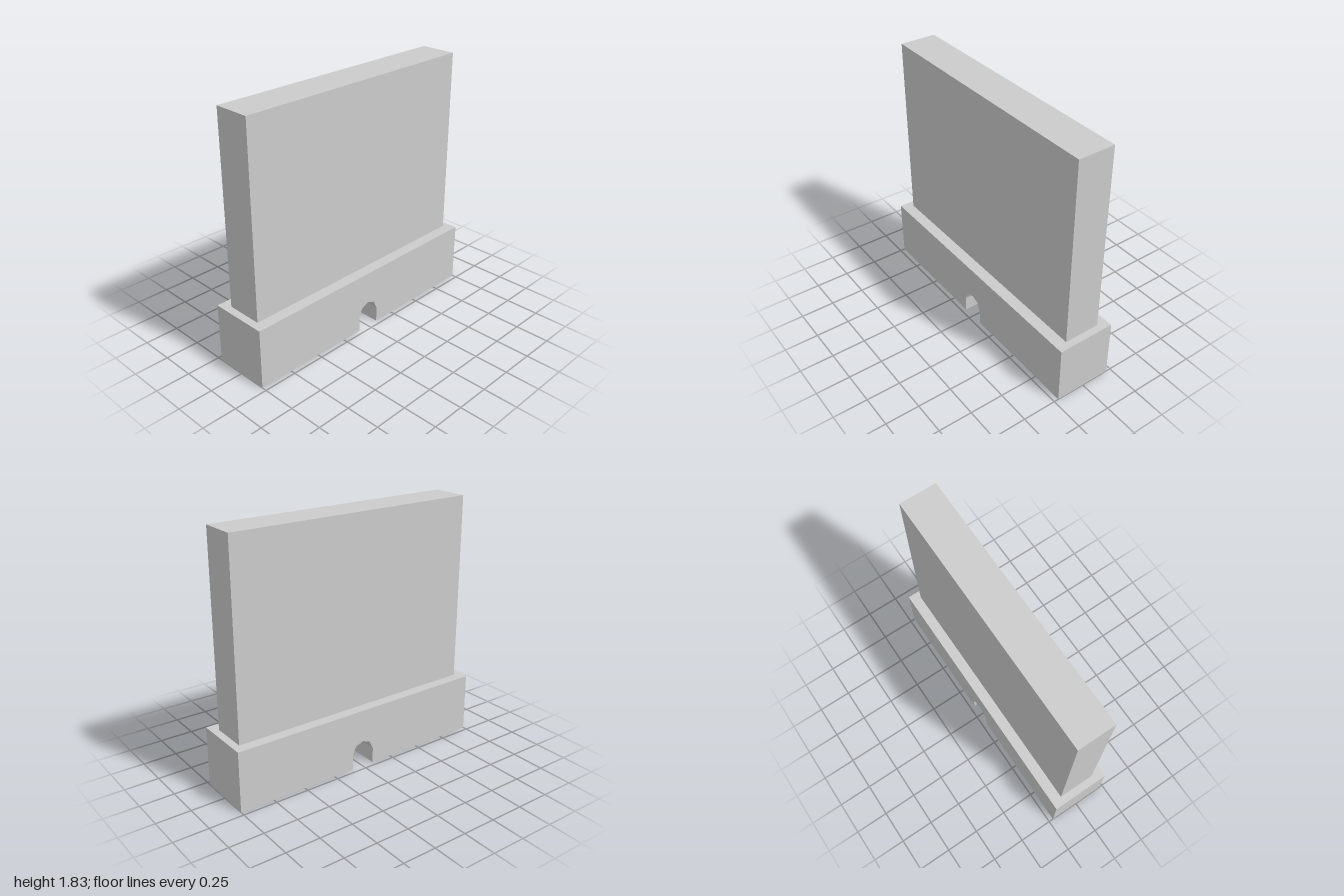
import * as THREE from 'three';

const material = new THREE.MeshStandardMaterial({
  color: 0xcccccc, flatShading: true, side: THREE.DoubleSide,
});

// Remove the triangles lying flat at height y, leaving the shell open below
function openBottom(geometry, y) {
  const source = geometry.index ? geometry.toNonIndexed() : geometry;
  const p = source.attributes.position;
  const kept = [];
  for (let i = 0; i < p.count; i += 3) {
    const corners = [i, i + 1, i + 2];
    if (corners.every((c) => Math.abs(p.getY(c) - y) < 1e-4)) continue;
    for (const c of corners) kept.push(p.getX(c), p.getY(c), p.getZ(c));
  }
  const result = new THREE.BufferGeometry();
  result.setAttribute('position', new THREE.Float32BufferAttribute(kept, 3));
  result.computeVertexNormals();
  return result;
}

function addPart(group, name, geometry) {
  const mesh = new THREE.Mesh(geometry, material);
  mesh.name = name;
  group.add(mesh);
}

export function createModel() {
  const group = new THREE.Group();
  group.name = 'wallSegment';

  // Plinth: long side profile with an arched drain, extruded across the width
  const baseWidth = 0.43, baseHeight = 0.44;
  const profile = new THREE.Shape([
    [-1, 0], [-0.09, 0], [-0.09, 0.115], [-0.06, 0.178], [0, 0.2],
    [0.06, 0.178], [0.09, 0.115], [0.09, 0], [1, 0],
    [1, baseHeight], [-1, baseHeight],
  ].map(([z, y]) => new THREE.Vector2(z, y)));
  const base = new THREE.ExtrudeGeometry(profile, { depth: baseWidth, bevelEnabled: false });
  base.translate(0, 0, -baseWidth / 2).rotateY(-Math.PI / 2);
  addPart(group, 'plinth', openBottom(base, 0));

  // Upright slab standing on the plinth
  const slabHeight = 1.39;
  const slab = new THREE.BoxGeometry(0.268, slabHeight, 1.892);
  slab.translate(-0.003, baseHeight + slabHeight / 2, -0.001);
  addPart(group, 'wall', openBottom(slab, baseHeight));

  return group;
}
